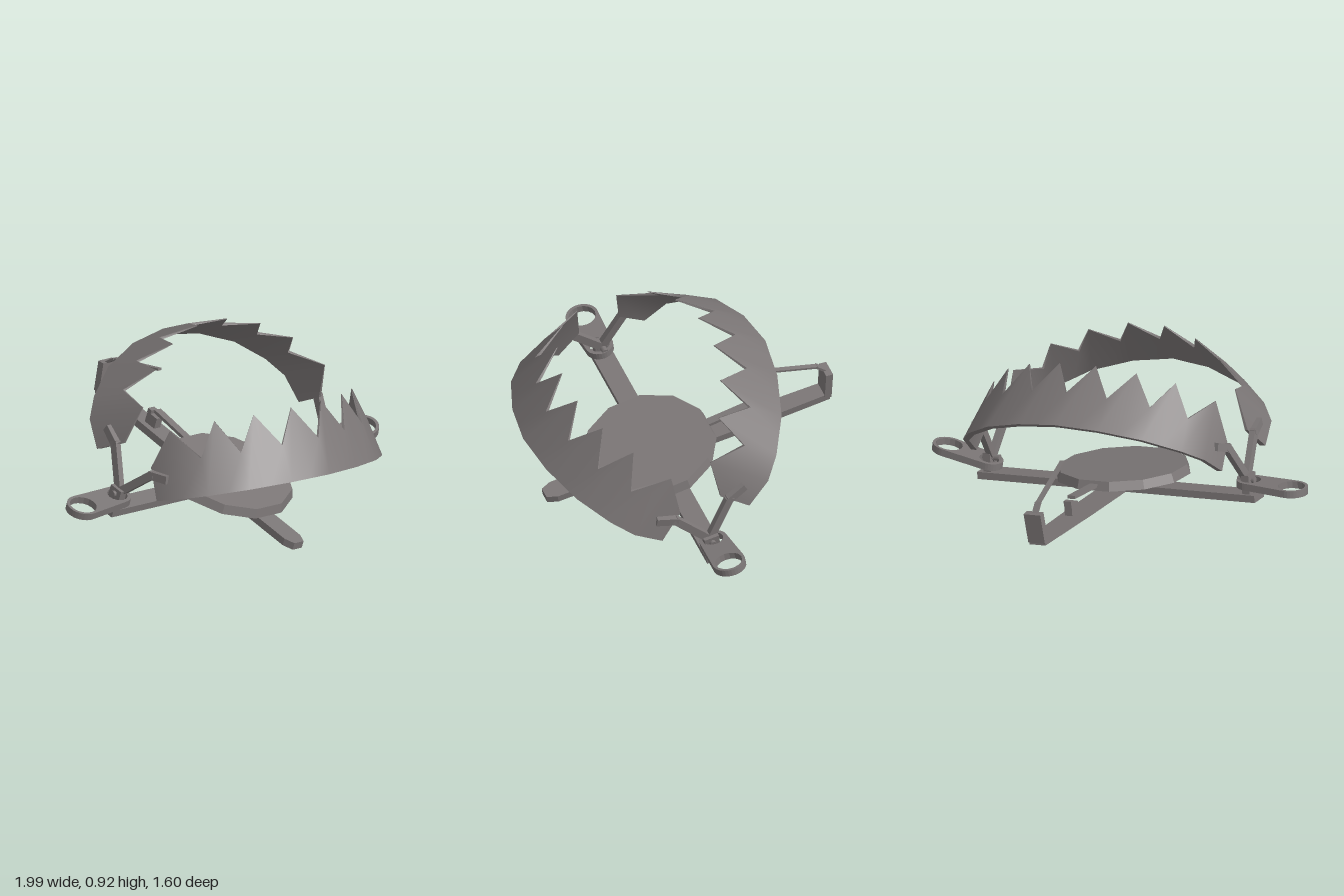
import * as THREE from 'three';

const steel = new THREE.MeshStandardMaterial({ color: 0x7b7676 });
steel.name = 'dull steel';

function part(name, geometry, parent) {
  const mesh = new THREE.Mesh(geometry, steel);
  mesh.name = name;
  parent.add(mesh);
  return mesh;
}

// Rectangular bar running from a to b: width w (sideways), thickness t
function beam(name, a, b, w, t, parent) {
  const from = new THREE.Vector3(...a), to = new THREE.Vector3(...b);
  const mesh = part(name, new THREE.BoxGeometry(w, t, from.distanceTo(to) + t * 0.6), parent);
  mesh.position.copy(from).add(to).multiplyScalar(0.5);
  const dir = to.sub(from).normalize();
  const side = new THREE.Vector3(1, 0, 0).addScaledVector(dir, -dir.x).normalize();
  mesh.quaternion.setFromRotationMatrix(
    new THREE.Matrix4().makeBasis(side, new THREE.Vector3().crossVectors(dir, side), dir));
  return mesh;
}

// Flat plate: shape lies in x/z, thickness upwards from y = 0
function plate(shape, depth) {
  return new THREE.ExtrudeGeometry(shape, { depth, bevelEnabled: false, curveSegments: 8 })
    .rotateX(Math.PI / 2).translate(0, depth, 0);
}

// Toothed band: curved wall leaning inwards, eight teeth along the upper edge
function bandGeometry() {
  const nodes = [[0, 0.78], [0.215, 0.745], [0.42, 0.66], [0.575, 0.535], [0.68, 0.28]];
  const half = [];
  nodes.forEach(([u, v], i) => {
    half.push([u, v, i === 4 ? 0.16 : 0.18]);
    if (i < 3) half.push([(u + nodes[i + 1][0]) / 2, (v + nodes[i + 1][1]) / 2, 0.345]);
    if (i === 3) half.push([0.655, 0.43, 0.325]);
  });
  const cols = [...half.slice(1).reverse().map(([u, v, h]) => [-u, v, h]), ...half];

  const inward = ([x, y, z], t) => {
    const l = Math.hypot(x, z - 0.2);
    return [x - (t * x) / l, y, z - (t * (z - 0.2)) / l];
  };
  const lowOut = cols.map(([u, v]) => [u, 0, v]);
  const topOut = cols.map(([u, v, h]) => [u * (1 - 0.25 * h), h, v - 0.22 * h]);
  const lowIn = lowOut.map((p) => inward(p, 0.03));
  const topIn = topOut.map((p) => inward(p, p[1] > 0.3 ? 0.004 : 0.015));

  const pos = [], index = [];
  const strip = (low, high) => {
    const s = pos.length / 3, n = low.length;
    pos.push(...low.flat(), ...high.flat());
    for (let i = 0; i < n - 1; i++) {
      const a = s + i, b = a + n;
      index.push(a, a + 1, b + 1, a, b + 1, b);
    }
  };
  const e = cols.length - 1;
  strip(lowOut, topOut);
  strip(topIn, lowIn);
  strip(topOut, topIn);
  strip(lowIn, lowOut);
  strip([lowOut[e], lowIn[e]], [topOut[e], topIn[e]]);
  strip([lowIn[0], lowOut[0]], [topIn[0], topOut[0]]);

  const geo = new THREE.BufferGeometry();
  geo.setAttribute('position', new THREE.Float32BufferAttribute(pos, 3));
  geo.setIndex(index);
  geo.computeVertexNormals();
  return geo;
}

// Jaw: toothed band plus two bent arms, raised by the given angle
function makeJaw(name, degrees) {
  const jaw = new THREE.Group();
  jaw.name = name;
  const swing = new THREE.Group();
  swing.position.y = 0.04;
  swing.rotation.x = -THREE.MathUtils.degToRad(degrees);
  jaw.add(swing);
  part('toothedBand', bandGeometry(), swing);
  for (const s of [-1, 1]) {
    const path = [[s * 0.655, 0.1, 0.34], [s * 0.668, 0.125, 0.26], [s * 0.69, 0.05, 0.03]];
    beam('armUpper', path[0], path[1], 0.03, 0.04, swing);
    beam('armLower', path[1], path[2], 0.03, 0.04, swing);
  }
  return jaw;
}

export function createModel() {
  const model = new THREE.Group();
  model.name = 'jawTrap';

  // The whole trap rests tilted towards its front left corner
  const trap = new THREE.Group();
  trap.name = 'tiltedTrap';
  const ex = new THREE.Vector3(1, -0.176, 0).normalize();
  const ez = new THREE.Vector3(-0.031, -0.176, 1).normalize();
  const ey = new THREE.Vector3().crossVectors(ez, ex).normalize();
  ez.crossVectors(ex, ey);
  trap.quaternion.setFromRotationMatrix(new THREE.Matrix4().makeBasis(ex, ey, ez));
  trap.position.set(-0.01, 0.14, 0.08);
  model.add(trap);

  // Crossed base bars
  part('crossBar', new THREE.BoxGeometry(1.5, 0.036, 0.1), trap).position.y = 0.018;
  const bar = new THREE.Shape([
    [-0.043, -0.88], [0.043, -0.88], [0.052, -0.4], [0.052, 0.54],
    [0.03, 0.59], [-0.03, 0.59], [-0.052, 0.54], [-0.052, -0.4],
  ].map(([x, z]) => new THREE.Vector2(x, z)));
  part('longBar', plate(bar, 0.037), trap);

  // Upright back end with its bent trigger rod
  beam('backUpright', [0, 0.025, -0.872], [0, 0.155, -0.893], 0.09, 0.036, trap);
  beam('rodBend', [-0.005, 0.16, -0.89], [-0.005, 0.204, -0.85], 0.03, 0.012, trap);
  beam('triggerRod', [-0.005, 0.204, -0.85], [0, 0.318, -0.565], 0.024, 0.011, trap);

  // Pan with its catch
  const pan = part('pan', new THREE.CylinderGeometry(0.315, 0.33, 0.045, 12)
    .toNonIndexed().rotateY(Math.PI / 12), trap);
  pan.geometry.computeVertexNormals();
  pan.position.set(0, 0.085, 0.04);
  pan.rotation.x = 0.05;
  part('panPost', new THREE.BoxGeometry(0.06, 0.05, 0.06), trap).position.set(0, 0.055, 0.02);
  beam('catchStrip', [0, 0.1, -0.26], [0, 0.118, -0.5], 0.04, 0.016, trap);
  part('catchBracket', new THREE.BoxGeometry(0.04, 0.06, 0.07), trap).position.set(0, 0.062, -0.51);
  part('catchTip', new THREE.BoxGeometry(0.04, 0.022, 0.025), trap).position.set(0, 0.1, -0.535);

  // Side loops: rounded plates with a hole at each end, around the hinge tabs
  const loop = new THREE.Shape();
  loop.absarc(0, 0, 0.068, Math.PI / 2, Math.PI * 1.5, false);
  loop.absarc(0.22, 0, 0.08, -Math.PI / 2, Math.PI / 2, false);
  for (const [x, r] of [[0, 0.05], [0.22, 0.066]]) {
    const hole = new THREE.Path();
    hole.absarc(x, 0, r, 0, Math.PI * 2, true);
    loop.holes.push(hole);
  }
  for (const s of [-1, 1]) {
    const side = new THREE.Group();
    side.name = s > 0 ? 'leftSpringLoop' : 'rightSpringLoop';
    side.position.set(s * 0.705, 0.063, s > 0 ? -0.012 : 0.008);
    if (s < 0) side.rotation.y = Math.PI;
    part('loopPlate', plate(loop, 0.035), side).rotation.z = s > 0 ? 0.25 : -0.07;
    trap.add(side);
    part('hingeTab', new THREE.BoxGeometry(0.04, 0.1, 0.075), trap).position.set(s * 0.7, 0.08, 0);
    const pin = part('hingePin', new THREE.CylinderGeometry(0.016, 0.016, 0.09, 8), trap);
    pin.position.set(s * 0.69, 0.1, 0);
    pin.rotation.z = Math.PI / 2;
  }

  // Two open jaws
  trap.add(makeJaw('frontJaw', 33));
  const backJaw = makeJaw('backJaw', 38);
  backJaw.rotation.y = Math.PI;
  trap.add(backJaw);

  return model;
}
